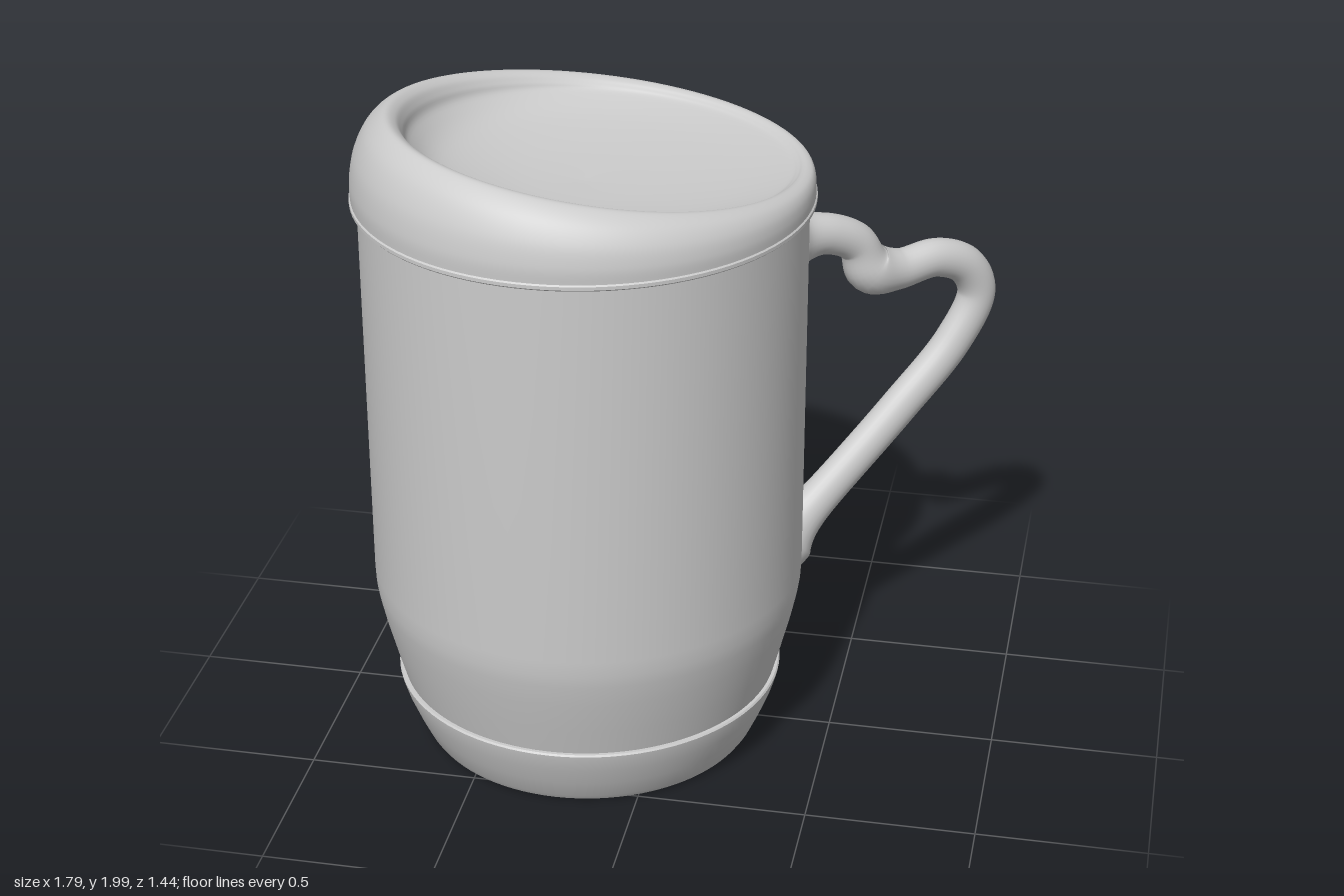
import * as THREE from 'three';
import { mergeVertices, toCreasedNormals } from 'three/addons/utils/BufferGeometryUtils.js';

const CX = -0.24, CZ = 0.055;           // axis of the cup
const SEG = 96;
const LOW_ANGLE = Math.atan2(-0.55, 0.83); // the lid slopes down towards the handle

const grey = () => new THREE.MeshStandardMaterial({ color: 0xcccccc });
const pts = list => list.map(([x, y]) => new THREE.Vector2(x, y));
const smoothProfile = (list, n) => new THREE.SplineCurve(pts(list)).getPoints(n);

function addMesh(parent, name, geometry) {
  const mesh = new THREE.Mesh(geometry, grey());
  mesh.name = name;
  parent.add(mesh);
  return mesh;
}

function turned(points) {
  return toCreasedNormals(new THREE.LatheGeometry(points, SEG), 0.6);
}

// Sloping lid: blend a tall and a low profile around the axis
function lidGeometry() {
  const tall = [[0.66, 1.755], [0.66, 1.81], [0.645, 1.885], [0.61, 1.955], [0.56, 1.998], [0.525, 1.988],
    [0.505, 1.955], [0.485, 1.905], [0.4, 1.835], [0.22, 1.79], [0, 1.775]];
  const low = [[0.66, 1.755], [0.66, 1.78], [0.658, 1.8], [0.652, 1.812], [0.64, 1.816], [0.628, 1.814],
    [0.615, 1.808], [0.58, 1.8], [0.43, 1.787], [0.22, 1.778], [0, 1.775]];
  const geo = new THREE.LatheGeometry(smoothProfile(tall, 60), SEG);
  const a = geo.attributes.position;
  const b = new THREE.LatheGeometry(smoothProfile(low, 60), SEG).attributes.position;
  for (let i = 0; i < a.count; i++) {
    const angle = Math.atan2(b.getZ(i), b.getX(i));
    const t = (1 - Math.cos(angle - LOW_ANGLE)) / 2;
    const tr = 1 - (1 - t) ** 2;
    a.setXYZ(i,
      THREE.MathUtils.lerp(b.getX(i), a.getX(i), tr),
      THREE.MathUtils.lerp(b.getY(i), a.getY(i), t),
      THREE.MathUtils.lerp(b.getZ(i), a.getZ(i), tr));
  }
  geo.deleteAttribute('uv');
  geo.deleteAttribute('normal');
  const merged = mergeVertices(geo, 1e-5);
  merged.computeVertexNormals();
  return merged;
}

// Half-heart handle: a tube that flares at the wall and thickens at the cleft
function handleGeometry() {
  const path = [[0.22, 1.5], [0.32, 1.5], [0.41, 1.492], [0.485, 1.445], [0.525, 1.355], [0.6, 1.33],
    [0.71, 1.342], [0.795, 1.295], [0.83, 1.2], [0.77, 1.05], [0.62, 0.857], [0.41, 0.612], [0.24, 0.42]];
  const curve = new THREE.CatmullRomCurve3(
    path.map(([x, y]) => new THREE.Vector3(x, y, -0.355 - (x - 0.42) * 0.745)), false, 'centripetal');
  const rings = 160, sides = 24;
  const geo = new THREE.TubeGeometry(curve, rings, 0.06, sides);
  const pos = geo.attributes.position;
  const across = new THREE.Vector3(0.597, 0, 0.802);
  const v = new THREE.Vector3();
  for (let i = 0; i <= rings; i++) {
    const c = curve.getPointAt(i / rings);
    const gap = Math.max(0, Math.hypot(c.x - CX, c.z - CZ) - 0.643);
    const cleft = Math.hypot(c.x - 0.53, c.y - 1.34);
    const scale = 1 + 0.75 * Math.exp(-gap / 0.04) + 0.3 * Math.exp(-((cleft / 0.06) ** 2));
    for (let j = 0; j <= sides; j++) {
      const k = i * (sides + 1) + j;
      v.fromBufferAttribute(pos, k).sub(c);
      v.addScaledVector(across, -0.1 * v.dot(across)).multiplyScalar(scale).add(c);
      pos.setXYZ(k, v.x, v.y, v.z);
    }
  }
  geo.deleteAttribute('uv');
  geo.deleteAttribute('normal');
  const merged = mergeVertices(geo, 1e-5);
  merged.computeVertexNormals();
  return merged;
}

export function createModel() {
  const model = new THREE.Group();
  model.name = 'travelMug';

  const cup = new THREE.Group();
  cup.name = 'cup';
  cup.position.set(CX, 0, CZ);
  model.add(cup);

  // Straight wall, tapering towards the foot
  addMesh(cup, 'body', turned(pts([[0.55, 0.19], [0.565, 0.2], [0.592, 0.3], [0.62, 0.41], [0.635, 0.48],
    [0.641, 0.52], [0.643, 0.57], [0.643, 1.745]])));

  // Foot with a small ledge and a flat underside
  addMesh(cup, 'base', turned(pts([[0, 0.005], [0.485, 0.005], [0.502, 0.01], [0.514, 0.028], [0.542, 0.09],
    [0.566, 0.15], [0.58, 0.195], [0.583, 0.21], [0.579, 0.215], [0.55, 0.215]])));

  // Thin lip where the lid meets the body
  addMesh(cup, 'lidSeal', turned(pts([[0.62, 1.738], [0.66, 1.738], [0.664, 1.742], [0.664, 1.752],
    [0.658, 1.758], [0.62, 1.758]])));

  addMesh(cup, 'lid', lidGeometry());
  addMesh(model, 'handle', handleGeometry());
  return model;
}
